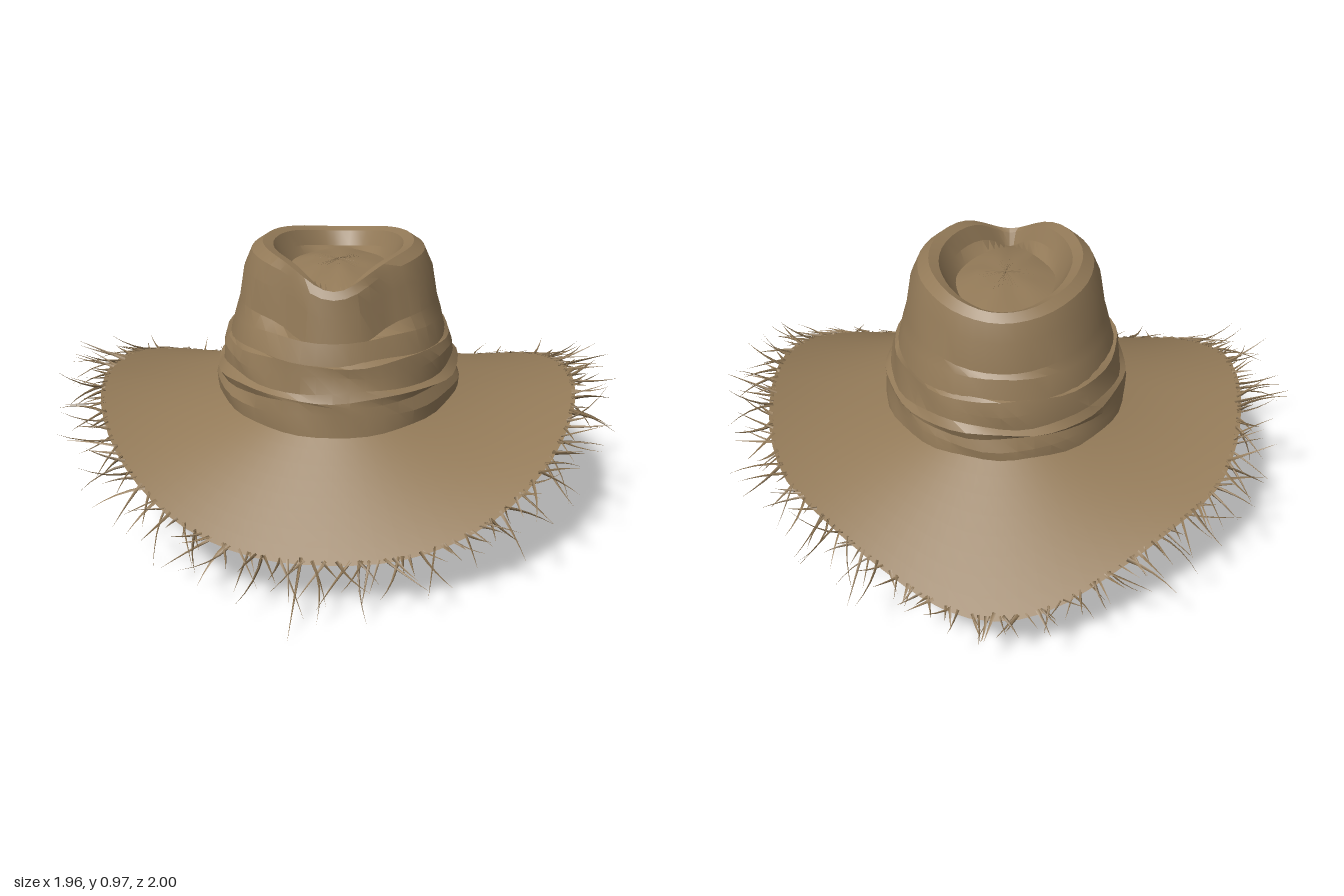
import * as THREE from 'three';
import { mergeGeometries, toCreasedNormals } from 'three/addons/utils/BufferGeometryUtils.js';
import { ParametricGeometry } from 'three/addons/geometries/ParametricGeometry.js';

const { lerp } = THREE.MathUtils;
const TAU = Math.PI * 2;

let seed = 7;
const rand = (a = 0, b = 1) => {
  seed = (seed * 16807) % 2147483647;
  return a + (b - a) * seed / 2147483647;
};

// Brim outline seen from above, front to back; mirrored for the other half
const half = [[0.18, 0.82], [0.34, 0.78], [0.5, 0.7], [0.65, 0.56], [0.75, 0.4], [0.81, 0.22], [0.83, 0.03],
  [0.82, -0.15], [0.78, -0.35], [0.7, -0.52], [0.55, -0.66], [0.36, -0.8], [0.16, -0.91]];
const outline = new THREE.CatmullRomCurve3([
  [0, 0.83], ...half, [0, -0.94], ...half.map(([x, z]) => [-x, z]).reverse(),
].map(([x, z]) => new THREE.Vector3(x, 0, z)), true);

// Height of the outer brim edge, and of the seam where the brim meets the crown
const edgeY = z => 0.485 - (z > 0 ? 0.325 * (z / 0.83) ** 1.9 : 0.295 * (-z / 0.94) ** 1.9);
const seamY = c => 0.468 - (c > 0 ? 0.03 * c * c : 0);

// Point on the brim: u runs round the hat, t from seam (0) to edge (1)
function brimPoint(u, t, target) {
  const o = outline.getPointAt(((u % 1) + 1) % 1);
  const a = Math.atan2(o.x, o.z), s = Math.sin(a), c = Math.cos(a);
  const y = lerp(seamY(c), edgeY(o.z), t) - 0.1 * s * s * t * (1 - t);
  return target.set(lerp(0.412 * s, o.x, t), y, lerp(0.482 * c, o.z, t));
}

// Crest line of the crown: high at the sides, dipping at the front and a little at the back
const crestY = c => 0.97 - (c > 0 ? 0.085 * c ** 6 : 0.035 * -(c ** 3));

// Crown rings: half width, front depth, back depth, height, crest share, front narrowing, front pinch
const crownRings = [
  [0.42, 0.49, 0.485, null, 0, 0, 0],
  [0.4, 0.47, 0.465, 0.56, 0, 0, 0],
  [0.376, 0.453, 0.45, 0.66, 0, 0, 0.005],
  [0.358, 0.435, 0.43, 0.73, 0, 0, 0.02],
  [0.343, 0.418, 0.418, -0.19, 1, 0.05, 0.03],
  [0.325, 0.407, 0.403, -0.085, 1, 0.08, 0.03],
  [0.298, 0.398, 0.385, -0.025, 1, 0.1, 0.02],
  [0.26, 0.385, 0.36, 0, 1, 0.15, 0],
  [0.225, 0.37, 0.335, -0.012, 1, 0.3, 0],
  [0.195, 0.35, 0.305, -0.06, 0.9, 0.45, 0],
  [0.17, 0.25, 0.27, 0.872, 0, 0.35, 0],
  [0.1, 0.14, 0.15, 0.892, 0, 0.25, 0],
  [0.001, 0.001, 0.001, 0.9, 0, 0, 0],
];

// Band rings, with folds in the cloth
const bandRings = [
  [0.425, 0.495, 0.492, null, 0, 0, 0],
  [0.428, 0.495, 0.488, 0.5, 0, 0, 0],
  [0.418, 0.487, 0.48, 0.535, 0, 0, 0],
  [0.424, 0.492, 0.486, 0.552, 0, 0, 0],
  [0.404, 0.474, 0.47, 0.572, 0, 0, 0],
  [0.398, 0.468, 0.466, 0.62, 0, 0, 0],
  [0.388, 0.463, 0.46, 0.66, 0, 0, 0],
  [0.372, 0.45, 0.446, 0.664, 0, 0, 0],
];

function ringPoint([rx, zf, zb, h, share, narrow, pinch], a, i, wobble, target) {
  const s = Math.sin(a), c = Math.cos(a);
  const front = Math.max(0, c);
  const dent = 1 - pinch * 2.5 * Math.exp(-(((Math.abs(Math.atan2(s, c)) - 0.6) / 0.25) ** 2));
  const ripple = 1 + wobble * Math.sin(7 * a + i * 2.1) * Math.sin(4 * a - i);
  const y = h === null ? seamY(c) - 0.006
    : share === 1 ? crestY(c) + h
    : share > 0 ? lerp(0.86, crestY(c) + h, share)
    : h + wobble * 0.6 * Math.sin(5 * a + i * 1.7);
  return target.set(rx * s * (1 - narrow * front * front) * dent * ripple, y, (c > 0 ? zf : zb) * c * dent * ripple);
}

// Loft a stack of rings into a softly faceted surface
function loft(rings, wobble, sides) {
  const p = new THREE.Vector3(), q = new THREE.Vector3(), n = rings.length - 1;
  const geo = new ParametricGeometry((u, v, target) => {
    const f = v * n, i = Math.min(n - 1, Math.floor(f + 1e-6));
    ringPoint(rings[i], u * TAU, i, wobble, p);
    ringPoint(rings[i + 1], u * TAU, i + 1, wobble, q);
    target.lerpVectors(p, q, f - i);
  }, sides, n);
  return toCreasedNormals(geo, 0.3);
}

// One tapered, curved straw from a root point along a direction
function straw(root, dir, length, radius, curl) {
  const geo = new THREE.ConeGeometry(radius, length, 3, 4, true).translate(0, length / 2, 0);
  const pos = geo.attributes.position;
  for (let i = 0; i < pos.count; i++) pos.setX(i, pos.getX(i) + curl * pos.getY(i) ** 2);
  geo.rotateY(rand(0, TAU));
  geo.applyQuaternion(new THREE.Quaternion().setFromUnitVectors(new THREE.Vector3(0, 1, 0), dir));
  geo.translate(root.x, root.y, root.z);
  // Keep the straw tips inside the overall size
  for (let i = 0; i < pos.count; i++) {
    pos.setXYZ(i, THREE.MathUtils.clamp(pos.getX(i), -0.98, 0.98), Math.max(0, pos.getY(i)),
      THREE.MathUtils.clamp(pos.getZ(i), -1, 1));
  }
  geo.computeVertexNormals();
  return geo;
}

function buildFringe() {
  const parts = [], count = 270;
  for (let k = 0; k < count; k++) {
    const u = (k + rand(-0.8, 0.8)) / count;
    const root = brimPoint(u, 0.97, new THREE.Vector3());
    const out = root.clone().sub(brimPoint(u, 0.75, new THREE.Vector3())).normalize();
    const along = brimPoint(u + 0.004, 0.97, new THREE.Vector3()).sub(root).normalize();
    const dir = out.addScaledVector(along, rand(-1.1, 1.1));
    dir.y += rand(-0.2, 0.15);
    const longest = root.z < -0.8 ? 0.1 : 0.19;
    parts.push(straw(root, dir.normalize(), rand(0.05, longest), rand(0.004, 0.0075), rand(-3, 3)));
  }
  // A few long stray straws
  for (const [x, y, z, u] of [[-0.11, 0, 1, 0.985], [0.98, 0.53, -0.1, 0.27], [-0.98, 0.54, -0.15, 0.73], [0.03, 0.16, -1, 0.5]]) {
    const root = brimPoint(u, 0.95, new THREE.Vector3());
    const dir = new THREE.Vector3(x, y, z).sub(root);
    const length = dir.length();
    parts.push(straw(root, dir.normalize(), length, 0.007, 0));
  }
  return mergeGeometries(parts);
}

export function createModel() {
  seed = 7;
  const group = new THREE.Group();
  group.name = 'strawHat';
  const straws = new THREE.MeshStandardMaterial({ color: 0x937a58, side: THREE.DoubleSide });
  straws.name = 'straw brown';

  const add = (name, geo) => {
    const mesh = new THREE.Mesh(geo, straws);
    mesh.name = name;
    group.add(mesh);
  };
  add('brim', new ParametricGeometry((u, v, target) => brimPoint(u, 1 - v, target), 72, 8));
  add('crown', loft(crownRings, 0.004, 44));
  add('band', loft(bandRings, 0.012, 48));
  add('frayedFringe', buildFringe());
  return group;
}
